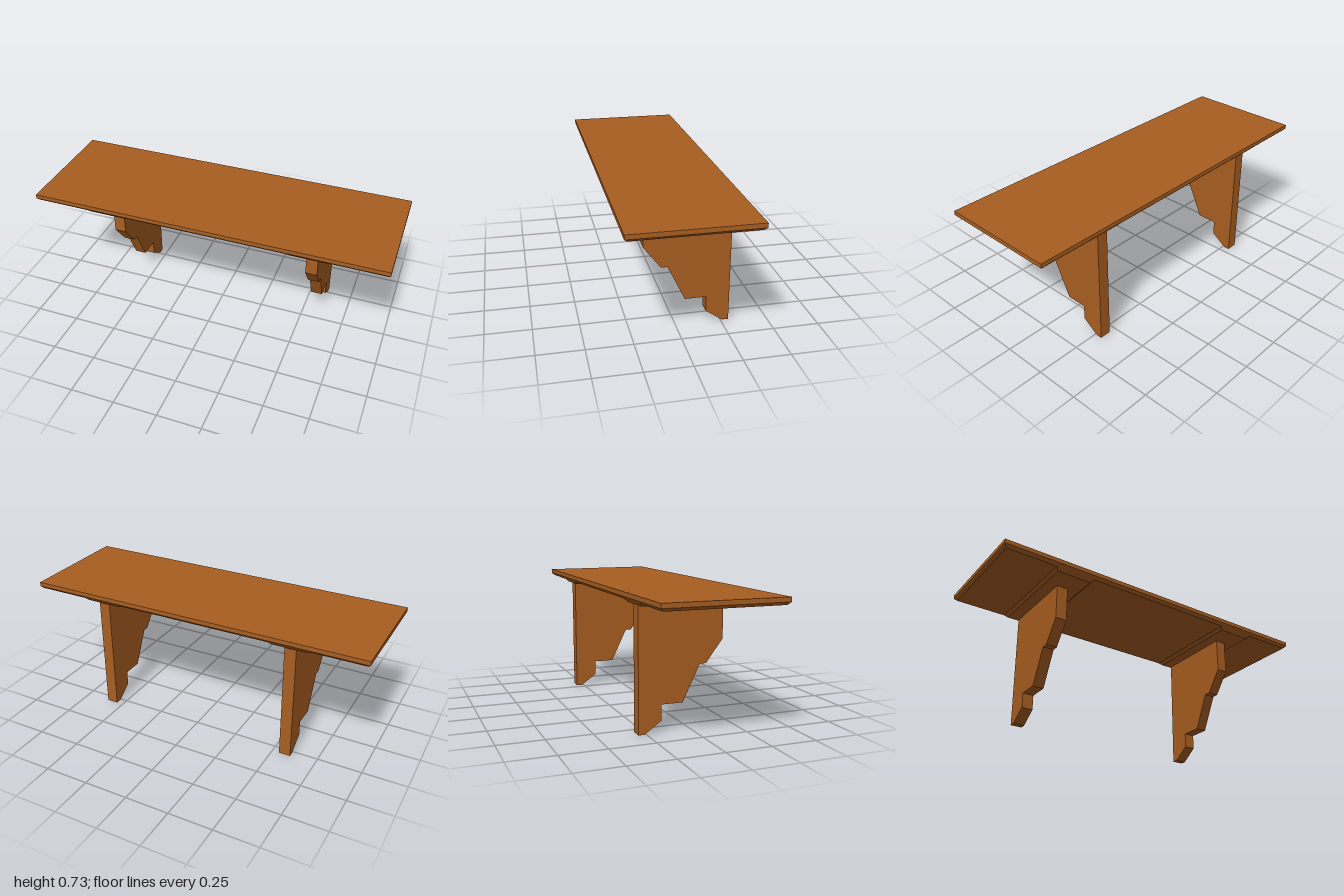
import * as THREE from 'three';

const wood = new THREE.MeshStandardMaterial({ color: 0xa85e21 });
wood.name = 'warm brown wood';

// Slab between y0 and y1 whose lower face is drawn in by `inset` on all sides
function slab(name, width, depth, y0, y1, inset = 0) {
  const geo = new THREE.BoxGeometry(width, y1 - y0, depth);
  geo.translate(0, (y0 + y1) / 2, 0);
  const p = geo.attributes.position;
  for (let i = 0; i < p.count; i++) {
    if (p.getY(i) < (y0 + y1) / 2) {
      p.setX(i, p.getX(i) - Math.sign(p.getX(i)) * inset);
      p.setZ(i, p.getZ(i) - Math.sign(p.getZ(i)) * inset);
    }
  }
  geo.computeVertexNormals();
  const mesh = new THREE.Mesh(geo, wood);
  mesh.name = name;
  return mesh;
}

// Stepped bracket profile as (z, y), extruded along x
function bracket() {
  const outline = [
    [-0.294, 0], [-0.26, 0], [-0.167, 0.065], [-0.167, 0.15], [-0.05, 0.15],
    [0.045, 0.347], [0.08, 0.347], [0.174, 0.471], [0.174, 0.669], [-0.294, 0.669],
  ].map(([z, y]) => new THREE.Vector2(z, y));
  const thickness = 0.065;
  const geo = new THREE.ExtrudeGeometry(new THREE.Shape(outline), { depth: thickness, bevelEnabled: false });
  geo.translate(0, 0, -thickness / 2);
  geo.rotateY(-Math.PI / 2);
  const mesh = new THREE.Mesh(geo, wood);
  mesh.name = 'bracket';
  return mesh;
}

export function createModel() {
  const model = new THREE.Group();
  model.name = 'bracketShelf';

  // Shelf board with a chamfered lower edge
  model.add(slab('shelfTop', 2, 0.667, 0.701, 0.725));
  model.add(slab('shelfChamfer', 2, 0.667, 0.685, 0.701, 0.016));

  // A chamfered cleat and a bracket on each side
  for (const side of [-1, 1]) {
    const support = new THREE.Group();
    support.name = side > 0 ? 'leftSupport' : 'rightSupport';
    support.add(slab('cleat', 0.232, 0.635, 0.669, 0.685, 0.016), bracket());
    support.position.x = side * 0.573;
    model.add(support);
  }
  return model;
}
